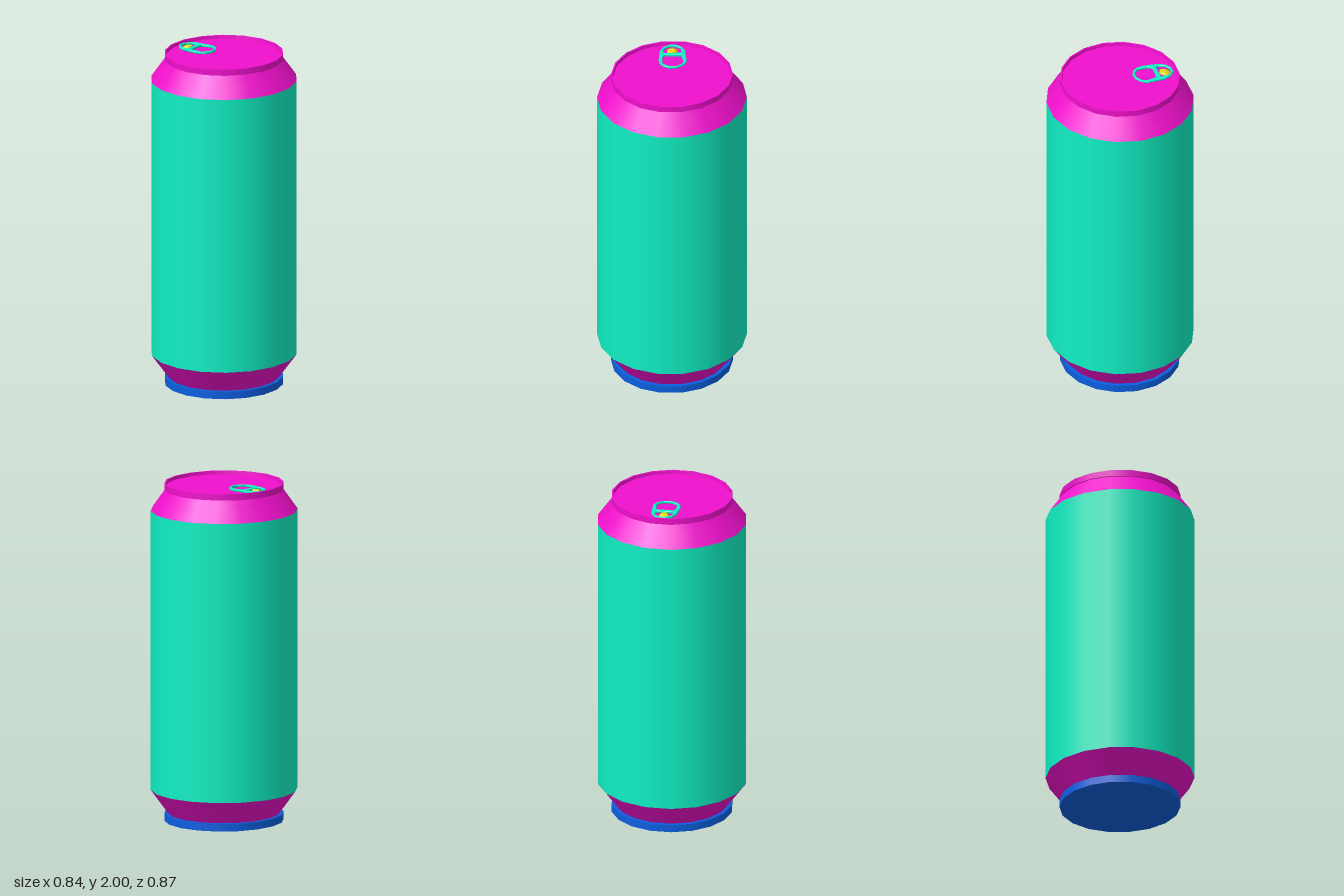
import * as THREE from 'three';
import { mergeGeometries } from 'three/addons/utils/BufferGeometryUtils.js';

const SIDES = 18;
const PINK = 0xf010cc, TEAL = 0x10f0c4, BLUE = 0x0b5fe0, YELLOW = 0xe8e010;

function part(name, geometry, color, flatShading = false) {
  const mesh = new THREE.Mesh(geometry, new THREE.MeshStandardMaterial({ color, flatShading }));
  mesh.name = name;
  return mesh;
}

// Turned shape: each profile step is its own band, so the rings stay sharp and the sides smooth
function turned(profile) {
  const bands = [];
  for (let i = 0; i < profile.length - 1; i++) {
    const pts = [profile[i], profile[i + 1]].map(([r, y]) => new THREE.Vector2(r, y));
    bands.push(new THREE.LatheGeometry(pts, SIDES, -2 * Math.PI / 180));
  }
  return mergeGeometries(bands).scale(0.985, 1, 1.01);
}

const points = (list) => list.map(([x, z]) => new THREE.Vector2(x, z));

export function createModel() {
  const can = new THREE.Group();
  can.name = 'drinkCan';

  // Body, from foot to lid
  can.add(part('foot', turned([[0, 0], [0.352, 0], [0.352, 0.045], [0.32, 0.045]]), BLUE));
  can.add(part('lowerTaper', turned([[0.33, 0.045], [0.433, 0.185]]), PINK));
  can.add(part('canWall', turned([[0.433, 0.185], [0.433, 1.84]]), TEAL));
  can.add(part('shoulder', turned([[0.433, 1.84], [0.345, 1.963]]), PINK));
  can.add(part('rimAndLid', turned([
    [0.345, 1.963], [0.352, 1.963], [0.352, 2], [0.343, 2], [0.341, 1.98], [0, 1.98],
  ]), PINK));

  // Pull tab: a ring with two openings, lying on the lid
  const outline = new THREE.Shape(points([
    [-0.3, -0.1], [-0.286, -0.14], [-0.252, -0.161], [-0.21, -0.166], [-0.105, -0.133],
    [-0.077, -0.105], [-0.067, -0.06], [-0.078, -0.018], [-0.105, 0.01], [-0.138, 0.021],
    [-0.175, 0.015], [-0.26, -0.026], [-0.29, -0.058],
  ]));
  const rivetHole = points([
    [-0.286, -0.1], [-0.272, -0.134], [-0.243, -0.15], [-0.196, -0.138],
    [-0.23, -0.044], [-0.248, -0.04], [-0.277, -0.062],
  ]);
  const fingerHole = points([
    [-0.174, -0.126], [-0.115, -0.118], [-0.088, -0.096], [-0.079, -0.06],
    [-0.093, -0.02], [-0.132, 0.006], [-0.19, -0.014], [-0.209, -0.036],
  ]);
  outline.holes.push(new THREE.Path(rivetHole), new THREE.Path(fingerHole));
  const tab = new THREE.ExtrudeGeometry(outline, {
    depth: 0.008, bevelEnabled: true, bevelThickness: 0.003, bevelSize: 0.003,
    bevelOffset: -0.003, bevelSegments: 1,
  });
  tab.rotateX(Math.PI / 2).translate(0, 1.993, 0);
  can.add(part('pullTab', tab, TEAL, true));

  // Rivet: a small leaning stud
  const rivet = new THREE.CylinderGeometry(0.018, 0.032, 0.014, 12);
  const p = rivet.attributes.position;
  for (let i = 0; i < p.count; i++) {
    if (p.getY(i) > 0) p.setXYZ(i, p.getX(i) + 0.01, p.getY(i), p.getZ(i) + 0.005);
  }
  rivet.computeVertexNormals();
  rivet.translate(-0.25, 1.987, -0.1);
  can.add(part('rivet', rivet, YELLOW));

  return can;
}
